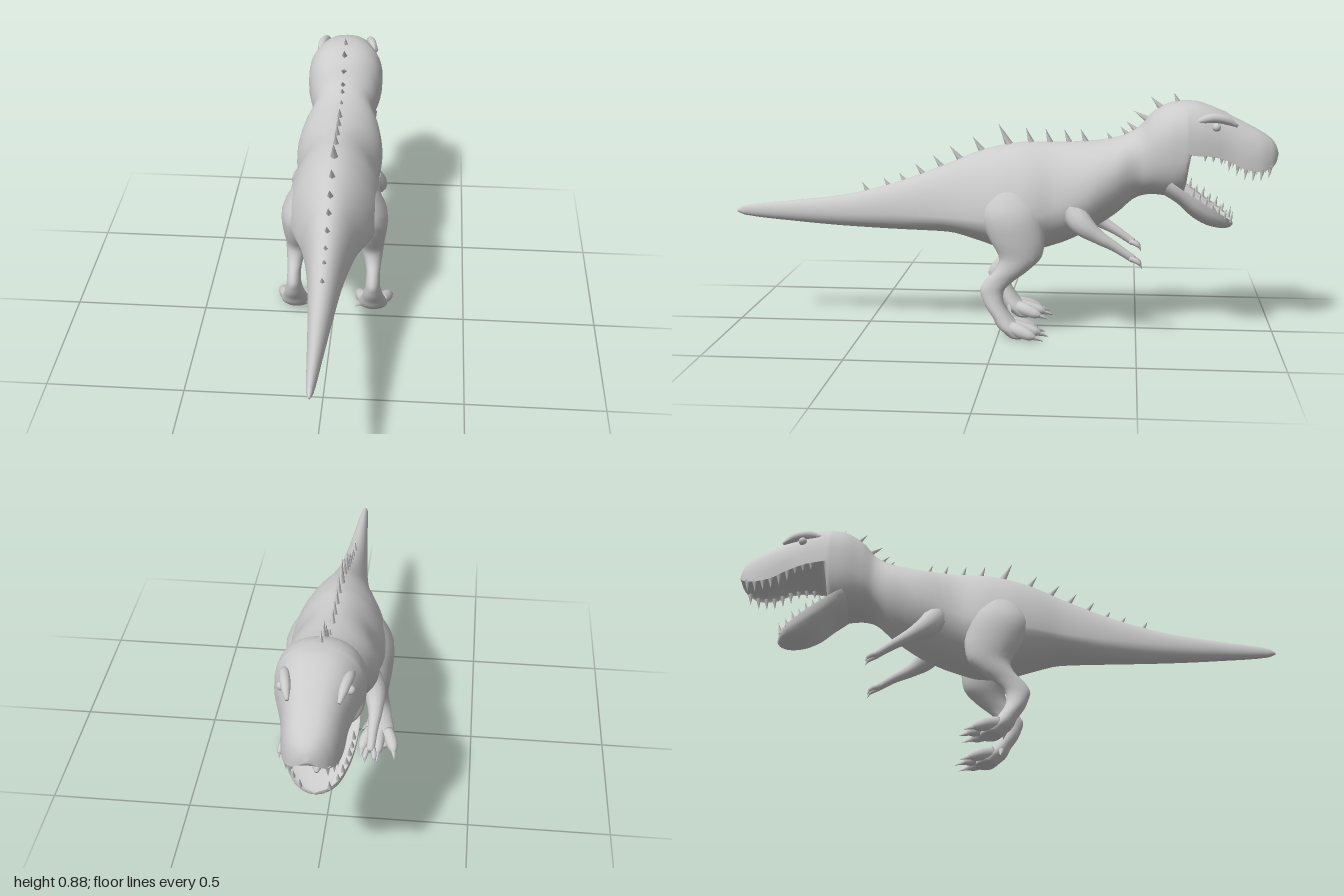
import * as THREE from 'three';

const V = (x, y, z) => new THREE.Vector3(x, y, z);
const skin = new THREE.MeshStandardMaterial({ color: 0xcccccc, side: THREE.DoubleSide });

// Monotone smooth interpolation of section rows; column 0 is the position
function sample(rows, t) {
  const s = Math.sign(rows[rows.length - 1][0] - rows[0][0]);
  let i = 0;
  while (i < rows.length - 2 && (t - rows[i + 1][0]) * s > 0) i++;
  const slope = (k, c) => (rows[k + 1][c] - rows[k][c]) / (rows[k + 1][0] - rows[k][0]);
  const tangent = (k, c) => {
    if (k === 0) return slope(0, c);
    if (k === rows.length - 1) return slope(k - 1, c);
    const a = slope(k - 1, c), b = slope(k, c);
    return a * b <= 0 ? 0 : (2 * a * b) / (a + b);
  };
  const h = rows[i + 1][0] - rows[i][0], u = (t - rows[i][0]) / h;
  return rows[i].map((p, c) => c === 0 ? t :
    p * (1 + 2 * u) * (1 - u) ** 2 + rows[i + 1][c] * u * u * (3 - 2 * u) +
    h * (tangent(i, c) * u * (1 - u) ** 2 + tangent(i + 1, c) * u * u * (u - 1)));
}

// Closed skin through rings; at(row, angle) gives a point
function loft(name, rows, steps, sides, at) {
  const rings = [];
  for (let i = 0; i < rows.length - 1; i++)
    for (let k = 0; k < steps; k++)
      rings.push(sample(rows, THREE.MathUtils.lerp(rows[i][0], rows[i + 1][0], k / steps)));
  rings.push(rows[rows.length - 1]);
  const pts = [], idx = [];
  for (const r of rings)
    for (let j = 0; j < sides; j++) pts.push(at(r, (j / sides) * Math.PI * 2));
  for (let i = 0; i < rings.length - 1; i++)
    for (let j = 0; j < sides; j++) {
      const a = i * sides + j, b = i * sides + (j + 1) % sides;
      idx.push(a, b, a + sides, b, b + sides, a + sides);
    }
  for (const end of [0, rings.length - 1]) {
    const c = V(0, 0, 0);
    for (let j = 0; j < sides; j++) c.addScaledVector(pts[end * sides + j], 1 / sides);
    const n = pts.push(c) - 1;
    for (let j = 0; j < sides; j++) {
      const a = end * sides + j, b = end * sides + (j + 1) % sides;
      idx.push(...(end ? [a, b, n] : [b, a, n]));
    }
  }
  // Turn the faces outward if the enclosed volume is negative
  let vol = 0;
  for (let i = 0; i < idx.length; i += 3)
    vol += pts[idx[i]].dot(pts[idx[i + 1]].clone().cross(pts[idx[i + 2]]));
  if (vol < 0) idx.reverse();
  const g = new THREE.BufferGeometry().setFromPoints(pts);
  g.setIndex(idx);
  g.computeVertexNormals();
  const m = new THREE.Mesh(g, skin);
  m.name = name;
  return m;
}

// Tapered limb along a path; nodes are [x, y, z, radius]
function limb(name, nodes, sides = 12) {
  const curve = new THREE.CatmullRomCurve3(nodes.map(n => V(n[0], n[1], n[2])));
  const last = nodes.length - 1;
  return loft(name, nodes.map((n, i) => [i / last, n[3]]), 4, sides, ([t, r], a) => {
    const d = curve.getTangent(t);
    const u = V(1, 0, 0).addScaledVector(d, -d.x).normalize(), v = d.clone().cross(u);
    return curve.getPoint(t).addScaledVector(u, r * Math.cos(a)).addScaledVector(v, r * Math.sin(a));
  });
}

function spike(name, base, dir, r, h, sides = 6) {
  const g = new THREE.ConeGeometry(r, h, sides).translate(0, h / 2, 0);
  const m = new THREE.Mesh(g, skin);
  m.name = name;
  m.position.copy(base);
  m.quaternion.setFromUnitVectors(V(0, 1, 0), dir.clone().normalize());
  return m;
}

// [z, top, height of widest point, bottom, half width, roundness]
const bodyRows = [
  [1, .43, .425, .42, .004, 1], [.97, .445, .425, .408, .012, 1], [.8, .465, .425, .39, .026, 1],
  [.6, .49, .425, .375, .042, 1], [.4, .54, .43, .366, .062, 1], [.2, .615, .43, .36, .1, 1.05],
  [.08, .665, .43, .33, .145, 1.1], [-.02, .69, .43, .3, .172, 1.1], [-.1, .7, .44, .297, .176, 1.1],
  [-.2, .7, .47, .32, .155, 1.05], [-.32, .705, .53, .375, .165, 1], [-.42, .72, .59, .44, .145, 1],
  [-.5, .76, .63, .505, .115, .95], [-.55, .815, .66, .515, .13, .9], [-.62, .85, .69, .51, .146, .85],
  [-.665, .855, .69, .53, .147, .82], [-.69, .855, .675, .69, .143, .82], [-.75, .84, .67, .685, .126, .8],
  [-.82, .808, .65, .67, .106, .8], [-.88, .778, .62, .65, .098, .8], [-.93, .752, .612, .64, .086, .8],
  [-.97, .725, .622, .64, .062, .85], [-.99, .7, .64, .645, .036, .9], [-1, .67, .665, .66, .004, 1],
];
const jawRows = [
  [-.58, .58, .6, .52, .1, .9], [-.64, .53, .56, .485, .128, .85], [-.7, .485, .52, .432, .122, .8],
  [-.76, .452, .48, .402, .105, .8], [-.81, .422, .447, .393, .078, .85], [-.835, .412, .426, .397, .045, .9],
  [-.845, .41, .413, .405, .005, 1],
];
const section = ([z, top, mid, bot, w, e], a) => {
  const c = Math.cos(a), s = Math.sin(a);
  const f = v => Math.sign(v) * Math.abs(v) ** e;
  return V(w * f(c), mid + (s > 0 ? top - mid : mid - bot) * f(s), z);
};

// [y, centre x, half width, centre z, half depth]
const legRows = [
  [.57, .09, .03, -.05, .05], [.53, .1, .06, -.05, .09], [.45, .118, .079, -.05, .115],
  [.36, .133, .063, -.068, .1], [.3, .138, .05, -.08, .078], [.25, .147, .035, -.05, .06],
  [.21, .15, .026, -.005, .052], [.17, .15, .027, .022, .043], [.13, .15, .034, .015, .037],
  [.08, .15, .046, -.015, .036], [.04, .15, .056, -.045, .045], [.015, .15, .054, -.07, .042], [.005, .15, .045, -.075, .035],
];

function addLeg(group, s) {
  group.add(loft('leg', legRows, 3, 20, ([y, cx, rx, cz, rz], a) =>
    V(s * (cx + rx * Math.cos(a)), y, cz + rz * Math.sin(a))));
  for (const k of [-1, 0, 1]) {
    const x = s * (.15 + k * .03), reach = k ? 0 : -.015;
    group.add(limb('toe', [[x, .045, -.05, .024], [x + s * k * .016, .036, -.085, .024],
      [x + s * k * .027, .024, -.12 + reach, .019], [x + s * k * .032, .018, -.14 + reach, .008]]));
    group.add(spike('toeClaw', V(x + s * k * .029, .02, -.13 + reach), V(s * k * .15, -.35, -1), .012, .045));
  }
  group.add(spike('heelClaw', V(s * .105, .05, -.02), V(-s * .9, -.9, -.2), .012, .04));
}

function addArm(group, s) {
  group.add(limb('arm', [[s * .115, .47, -.27, .05], [s * .145, .425, -.3, .042], [s * .155, .38, -.36, .026],
    [s * .152, .345, -.42, .018], [s * .15, .315, -.465, .015], [s * .148, .3, -.487, .014]]));
  for (const k of [-1, 1]) {
    const x = s * (.148 + k * .009);
    group.add(limb('finger', [[x, .305, -.475, .01], [x + s * k * .006, .295, -.498, .009], [x + s * k * .007, .285, -.511, .006]], 8));
    group.add(spike('fingerClaw', V(x + s * k * .007, .287, -.509), V(0, -1, -.45), .006, .022));
  }
}

export function createModel() {
  const model = new THREE.Group();
  model.add(loft('bodyAndHead', bodyRows, 4, 36, section));
  model.add(loft('lowerJaw', jawRows, 4, 28, section));
  model.add(limb('tongue', [[0, .53, -.65, .03], [0, .49, -.71, .028], [0, .46, -.76, .02], [0, .445, -.785, .006]]));

  for (const s of [1, -1]) {
    const side = new THREE.Group();
    side.name = s > 0 ? 'leftLimbs' : 'rightLimbs';
    addLeg(side, s);
    addArm(side, s);
    model.add(side);

    // Brow ridge, eye and nostril
    model.add(limb('browRidge', [[s * .108, .79, -.7, .008], [s * .1, .803, -.75, .017],
      [s * .09, .797, -.8, .016], [s * .08, .775, -.845, .006]]));
    const eye = new THREE.Mesh(new THREE.SphereGeometry(.015, 14, 10), skin);
    eye.name = 'eye';
    eye.position.set(s * .108, .772, -.77);
    model.add(eye);

    // Teeth follow the lip lines
    for (let i = 0; i < 9; i++) {
      const z = -.735 - i * .029, r = sample(bodyRows, z), h = i < 3 ? .03 : .045;
      model.add(spike('upperTooth', V(s * r[4] * .9, r[2] + .008, z), V(0, -1, .1), .009, h));
    }
    for (let i = 0; i < 7; i++) {
      const z = -.69 - i * .0235, r = sample(jawRows, z);
      model.add(spike('lowerTooth', V(s * r[4] * .9, r[2] - .008, z), V(0, 1, -.25), .008, i % 2 ? .034 : .042));
    }
  }

  // Spines along the back, neck and crown: [z, height]
  const spines = [[.5, .035], [.42, .03], [.36, .032], [.29, .045], [.22, .052], [.15, .06], [.07, .06],
    [-.03, .085], [-.11, .055], [-.18, .052], [-.25, .05], [-.31, .05], [-.4, .025],
    [-.46, .035], [-.49, .042], [-.53, .052], [-.58, .052], [-.64, .035]];
  for (const [z, h] of spines) {
    const y = sample(bodyRows, z)[1];
    const slope = (sample(bodyRows, z + .02)[1] - sample(bodyRows, z - .02)[1]) / .04;
    const dir = V(0, 1, -slope).normalize().add(V(0, 0, .35));
    model.add(spike('spine', V(0, y - .008, z), dir, .007 + h * .1, h + .008, 4));
  }
  return model;
}
